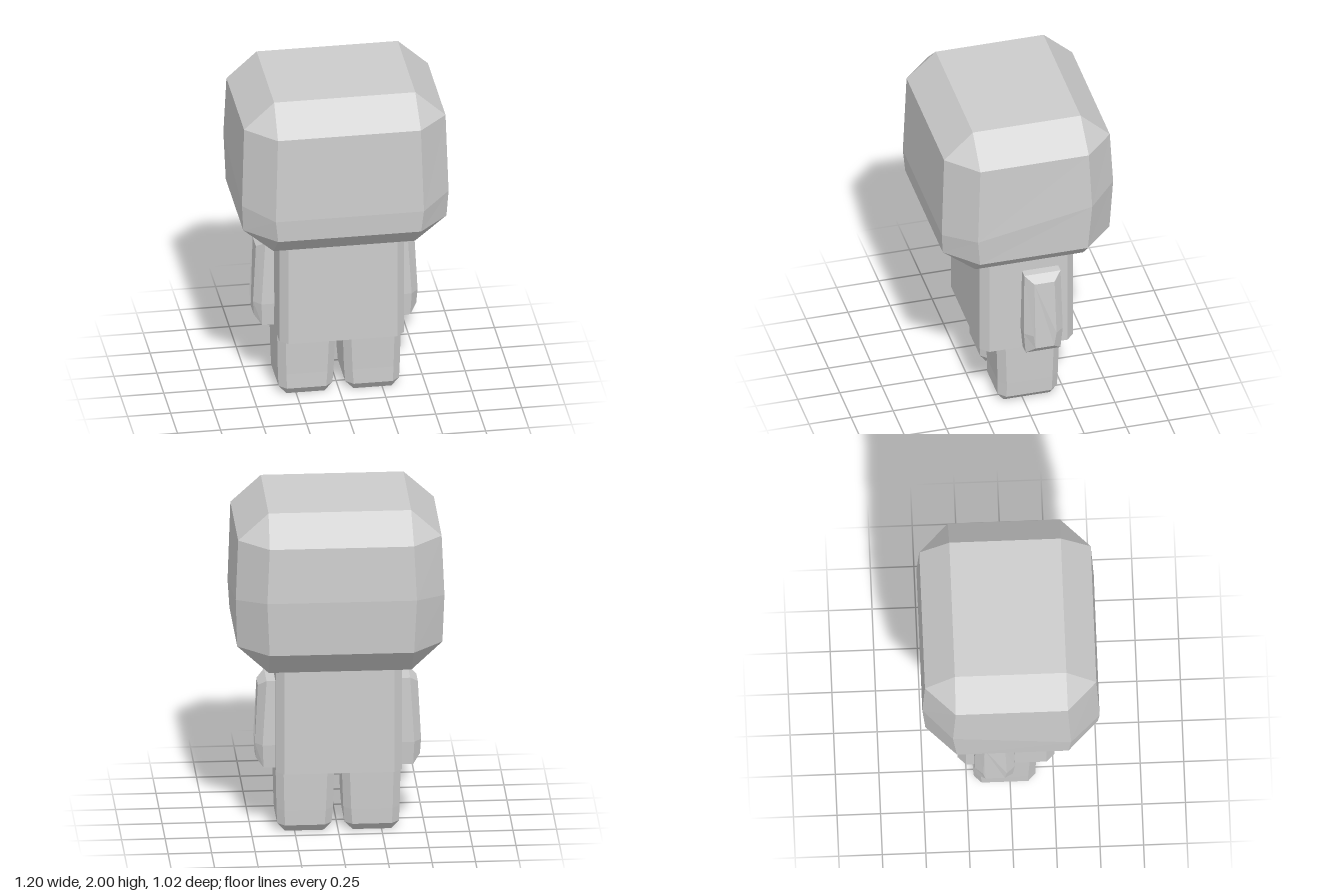
import * as THREE from 'three';

const grey = new THREE.MeshStandardMaterial({ color: 0xcccccc, flatShading: true });
grey.name = 'plainGrey';

// Closed faceted solid through rings of [x, y, z] points, with capped ends.
// Rings run counter-clockwise as seen from the far (last) end.
function loft(name, rings) {
  const n = rings[0].length;
  const pos = [];
  const tri = (a, b, c) => {
    const [p, q, r] = [a, b, c].map((v) => new THREE.Vector3(...v));
    if (q.clone().sub(p).cross(r.clone().sub(p)).length() > 1e-7) pos.push(...a, ...b, ...c);
  };
  for (let k = 0; k + 1 < rings.length; k++) {
    const lo = rings[k], hi = rings[k + 1];
    for (let i = 0; i < n; i++) {
      const j = (i + 1) % n;
      tri(lo[i], lo[j], hi[j]);
      tri(lo[i], hi[j], hi[i]);
    }
  }
  const first = rings[0], last = rings[rings.length - 1];
  for (let i = 1; i + 1 < n; i++) {
    tri(first[0], first[i + 1], first[i]);
    tri(last[0], last[i], last[i + 1]);
  }
  const geo = new THREE.BufferGeometry();
  geo.setAttribute('position', new THREE.Float32BufferAttribute(pos, 3));
  geo.computeVertexNormals();
  const mesh = new THREE.Mesh(geo, grey);
  mesh.name = name;
  return mesh;
}

// Rectangle with cut corners; cut 0 gives a plain rectangle. tilt slopes y along z.
function ring(y, x0, x1, z0, z1, cut = 0, tilt = 0) {
  const c = cut;
  return [
    [x0 + c, z1], [x1 - c, z1], [x1, z1 - c], [x1, z0 + c],
    [x1 - c, z0], [x0 + c, z0], [x0, z0 + c], [x0, z1 - c],
  ].map(([x, z]) => [x, y + tilt * z, z]);
}

// Arm outline at depth x, shrunk inward by inset; side is +1 or -1
function armRing(side, xTop, xMid, xLow, inset) {
  const i = inset;
  const pts = [
    [xTop, 0.93 - i * 0.8, 0.015 - i], [xMid, 0.54, 0.024 - i], [xLow, 0.4 + i, 0.012 - i],
    [xLow, 0.4 + i, -0.195 + i], [xMid, 0.54, -0.207 + i], [xTop, 0.93 - i * 0.8, -0.2 + i],
  ].map(([x, y, z]) => [side * x, y, z]);
  return side > 0 ? pts : pts.reverse();
}

export function createModel() {
  const model = new THREE.Group();
  model.name = 'blockFigure';

  // Head: bevelled block that bulges along a sloping line
  model.add(loft('head', [
    ring(1.03, -0.41, 0.41, -0.335, 0.305),
    ring(1.19, -0.59, 0.59, -0.49, 0.5, 0.175),
    ring(1.42, -0.6, 0.6, -0.508, 0.51, 0.17, -0.187),
    ring(1.84, -0.585, 0.585, -0.492, 0.492, 0.17),
    ring(2, -0.41, 0.41, -0.32, 0.32),
  ]));

  // Torso
  model.add(loft('torso', [
    ring(0.393, -0.362, 0.362, -0.3, 0.255, 0.046),
    ring(1.06, -0.362, 0.362, -0.3, 0.255, 0.046),
  ]));

  for (const side of [1, -1]) {
    const label = side > 0 ? 'left' : 'right';

    // Arm: bevelled plate against the side of the torso
    model.add(loft(label + 'Arm', [
      armRing(side, 0.34, 0.34, 0.34, 0),
      armRing(side, 0.413, 0.436, 0.43, 0),
      armRing(side, 0.46, 0.478, 0.472, 0.048),
    ]));

    // Leg: bevelled block, narrowing to the sole
    const span = (a, b) => (side > 0 ? [a, b] : [-b, -a]);
    model.add(loft(label + 'Leg', [
      ring(0, ...span(0.085, 0.305), -0.165, 0.11),
      ring(0.047, ...span(0.037, 0.35), -0.207, 0.146, 0.043),
      ring(0.14, ...span(0.03, 0.354), -0.211, 0.146, 0.043),
      ring(0.41, ...span(0.02, 0.36), -0.218, 0.155, 0.043),
    ]));
  }
  return model;
}
